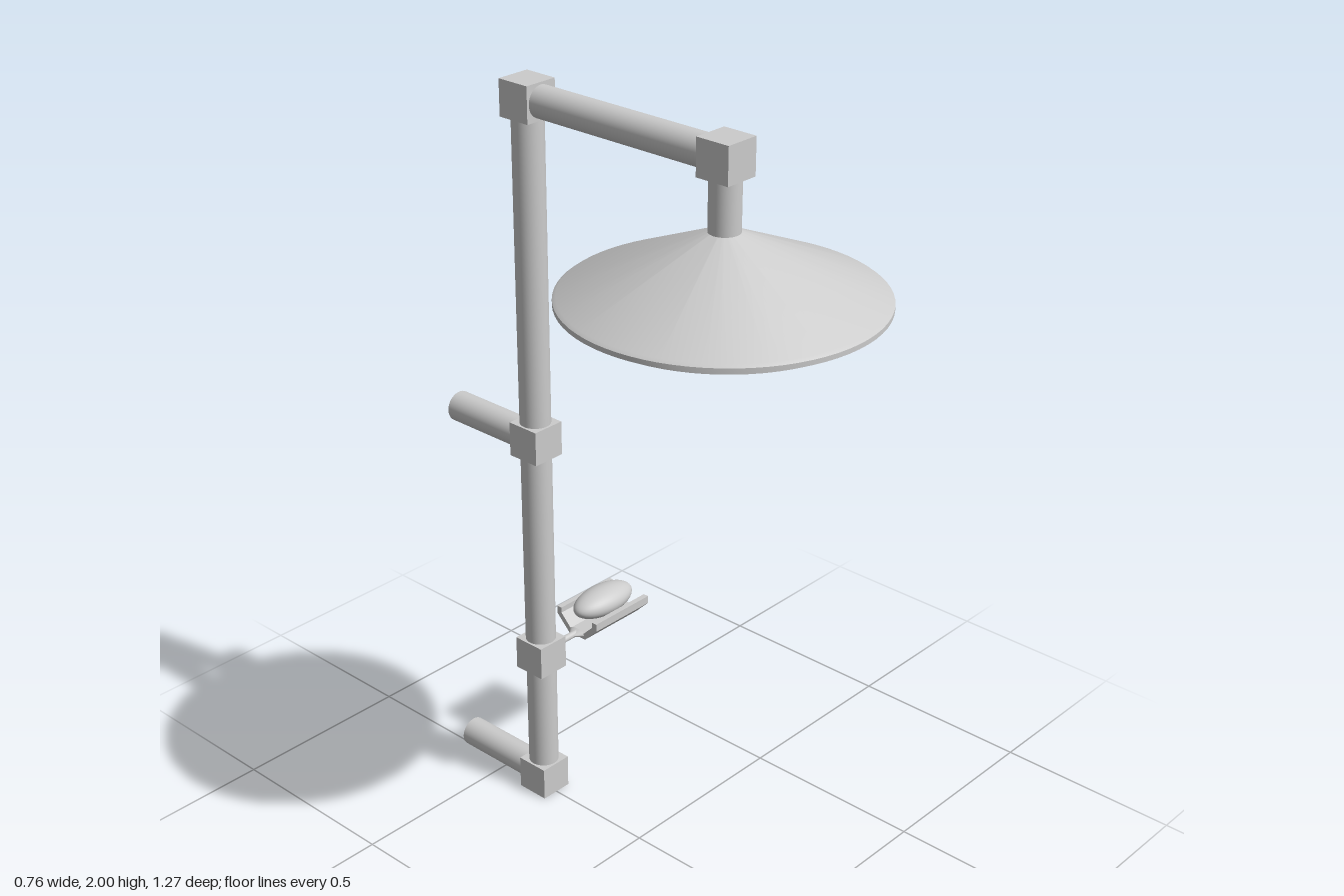
import * as THREE from 'three';
import { toCreasedNormals } from 'three/addons/utils/BufferGeometryUtils.js';

const POLE_Z = -0.355, HEAD_Z = 0.255, TOP_Y = 1.954;

export function createModel() {
  const group = new THREE.Group();
  const grey = new THREE.MeshStandardMaterial({ color: 0xcccccc });

  function add(name, geometry, x = 0, y = 0, z = 0, parent = group) {
    const mesh = new THREE.Mesh(geometry, grey);
    mesh.name = name;
    mesh.position.set(x, y, z);
    parent.add(mesh);
    return mesh;
  }

  // Round bar between two points
  function bar(name, from, to, radius) {
    const a = new THREE.Vector3(...from), b = new THREE.Vector3(...to);
    const mesh = add(name, new THREE.CylinderGeometry(radius, radius, a.distanceTo(b), 40));
    mesh.position.copy(a).add(b).multiplyScalar(0.5);
    mesh.quaternion.setFromUnitVectors(new THREE.Vector3(0, 1, 0), b.sub(a).normalize());
  }

  // Riser, overhead arm, neck and wall mounts
  bar('riserPole', [0, 0.04, POLE_Z], [0, TOP_Y, POLE_Z], 0.04);
  bar('overheadArm', [0, TOP_Y, POLE_Z], [0, TOP_Y, HEAD_Z], 0.04);
  bar('headNeck', [0, 1.77, HEAD_Z], [0, TOP_Y, HEAD_Z], 0.038);
  for (const y of [0.05, 1.067]) bar('wallMount', [0, y, POLE_Z], [0, y, -0.635], 0.04);

  // Square connector blocks
  const block = new THREE.BoxGeometry(0.092, 0.092, 0.092);
  for (const y of [0.046, 0.433, 1.067, TOP_Y]) add('poleConnector', block, 0, y, POLE_Z);
  add('headConnector', block, 0, TOP_Y, HEAD_Z);

  // Shower head: cone, rim and recessed spray plate
  const head = new THREE.Group();
  head.name = 'showerHead';
  head.position.set(0, 1.6, HEAD_Z);
  group.add(head);
  const profile = [
    [0, 0], [0.352, 0], [0.352, 0.016], [0.382, 0.016],
    [0.382, 0.028], [0.374, 0.034], [0.038, 0.182], [0, 0.182],
  ].map(([r, y]) => new THREE.Vector2(r, y));
  add('headShell', toCreasedNormals(new THREE.LatheGeometry(profile, 72), 0.35), 0, 0, 0, head);

  // Spray nozzles in concentric rings
  const nozzle = new THREE.CylinderGeometry(0.011, 0.009, 0.008, 10);
  [[0.06, 5], [0.14, 10], [0.22, 15], [0.305, 20]].forEach(([r, count]) => {
    for (let i = 0; i < count; i++) {
      const a = (i / count) * Math.PI * 2;
      add('nozzle', nozzle, r * Math.cos(a), -0.002, r * Math.sin(a), head);
    }
  });

  // Soap dish bracket: square taper, thin rod and flattened flare
  const taper = new THREE.CylinderGeometry(0.028, 0.064, 0.02, 4).toNonIndexed();
  taper.rotateY(Math.PI / 4).rotateZ(-Math.PI / 2);
  taper.computeVertexNormals();
  add('bracketBase', taper, 0.055, 0.433, POLE_Z);
  bar('bracketRod', [0.06, 0.431, POLE_Z], [0.14, 0.431, POLE_Z], 0.009);
  const flare = new THREE.CylinderGeometry(0.028, 0.009, 0.022, 20);
  flare.rotateZ(-Math.PI / 2).scale(1, 0.4, 1);
  add('bracketFlare', flare, 0.127, 0.431, POLE_Z);

  // Trough-shaped dish: lower half of an octagonal tube
  const half = [[0.073, -0.008], [0.073, -0.03], [0.03, -0.073]];
  const outer = [...half, ...half.map(([x, y]) => [-x, y]).reverse()];
  const inner = [...outer].reverse().map(([x, y]) => [x * 0.79, y < -0.01 ? y * 0.79 : y]);
  const section = new THREE.Shape([...outer, ...inner].map(([x, y]) => new THREE.Vector2(x, y)));
  const dish = new THREE.ExtrudeGeometry(section, { depth: 0.204, bevelEnabled: false });
  dish.rotateY(Math.PI / 2);
  add('soapDish', dish, 0.136, 0.493, POLE_Z);

  // Oval bar of soap
  const soap = add('soap', new THREE.SphereGeometry(1, 40, 24), 0.238, 0.49, POLE_Z);
  soap.scale.set(0.102, 0.038, 0.052);

  return group;
}
